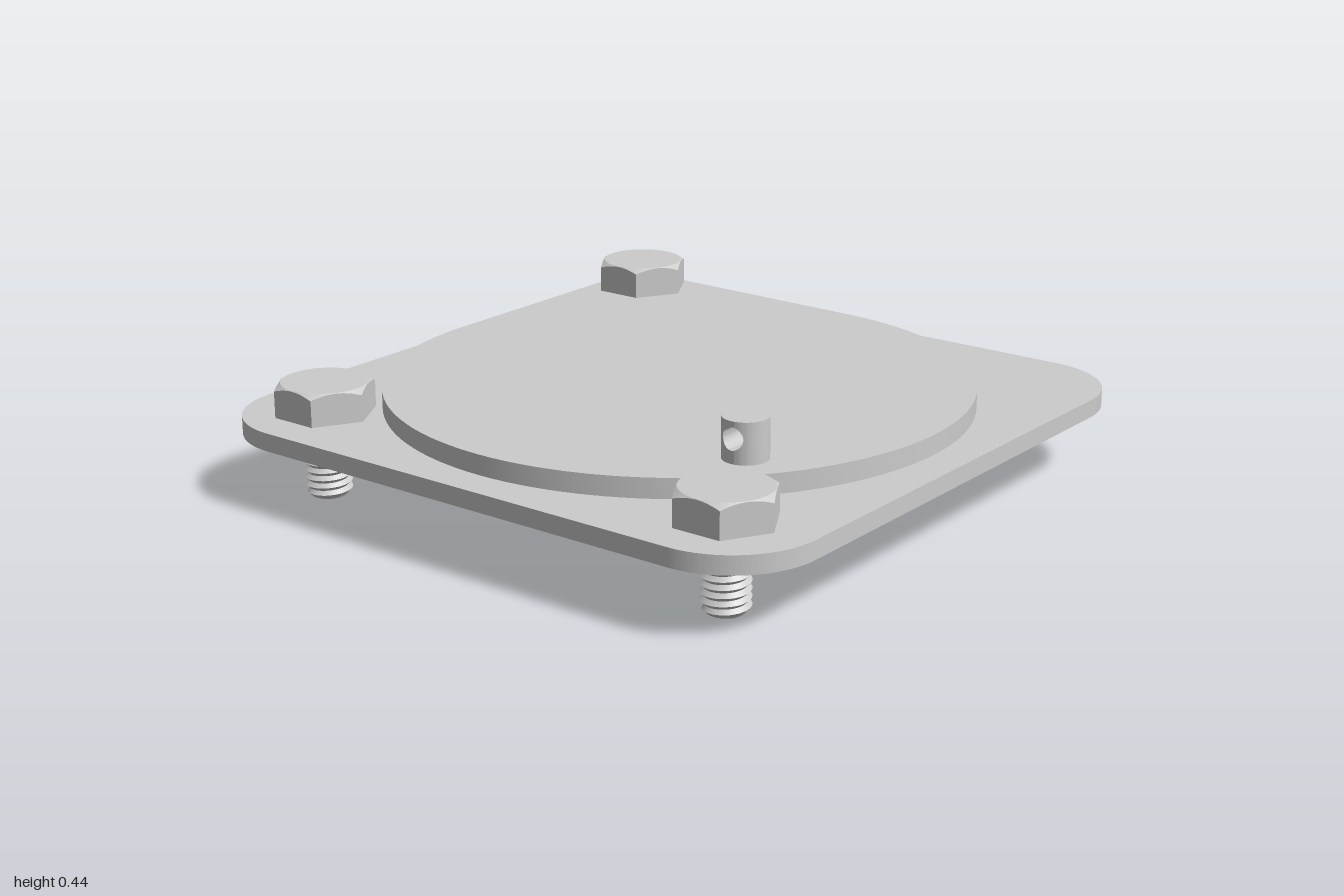
import * as THREE from 'three';
import { toCreasedNormals } from 'three/addons/utils/BufferGeometryUtils.js';

const material = new THREE.MeshStandardMaterial({ color: 0xcccccc });

function mesh(name, geometry, x = 0, y = 0, z = 0) {
  const m = new THREE.Mesh(toCreasedNormals(geometry, 0.45), material);
  m.name = name;
  m.position.set(x, y, z);
  return m;
}

// Flat slab from a plan outline (shape y points to -z), resting on y = 0
function slab(shape, thickness) {
  return new THREE.ExtrudeGeometry(shape, { depth: thickness, bevelEnabled: false, curveSegments: 48 })
    .rotateX(-Math.PI / 2);
}

function plateShape(half, r, holeRadius) {
  const s = new THREE.Shape(), c = half - r;
  [[c, c], [-c, c], [-c, -c], [c, -c]].forEach(([x, y], i) =>
    s.absarc(x, y, r, i * Math.PI / 2, (i + 1) * Math.PI / 2));
  s.closePath();
  s.holes.push(new THREE.Path().absarc(0, 0, holeRadius, 0, Math.PI * 2, true));
  return s;
}

// Large disc joined by tangents to a small lug around the pivot bolt
function coverShape(R, r, lx, ly) {
  const dir = Math.atan2(ly, lx), spread = Math.acos((R - r) / Math.hypot(lx, ly));
  const s = new THREE.Shape();
  s.absarc(0, 0, R, dir + spread, dir - spread + Math.PI * 2);
  s.absarc(lx, ly, r, dir - spread, dir + spread);
  s.closePath();
  return s;
}

// Hexagonal prism, corners on the x axis, its top cut by a cone of the given slope
function hexGeometry(apothem, height, slope) {
  const g = new THREE.CylinderGeometry(1, 1, height, 48, 2);
  const p = g.attributes.position, third = Math.PI / 3;
  for (let i = 0; i < p.count; i++) {
    const x = p.getX(i), y = p.getY(i), z = p.getZ(i);
    if (Math.hypot(x, z) < 0.5) continue;
    const a = Math.atan2(z, x) + Math.PI * 2 + 1e-6;
    const hexR = apothem / Math.cos(a % third - third / 2);
    const inner = apothem * 0.985;
    const r = y > 0.01 && slope ? inner : hexR;
    p.setXYZ(i, x * r, Math.abs(y) < 0.01 ? height / 2 - (hexR - inner) * slope : y, z * r);
  }
  return g.translate(0, height / 2, 0);
}

// Helical V thread hanging down from y = 0, closed at the tip
function threadGeometry(length, crest, root, pitch) {
  const segs = 32, rows = 2 * Math.ceil(length / pitch) + 6;
  const g = new THREE.CylinderGeometry(1, 1, 1, segs, rows, true);
  const p = g.attributes.position;
  for (let i = 0; i < p.count; i++) {
    const k = Math.floor(i / (segs + 1)), u = (i % (segs + 1)) / segs;
    const raw = pitch * (1 + u - k / 2);
    const y = Math.min(0, Math.max(-length, raw));
    let r = k % 2 ? crest : root;
    if (raw !== y) r = root;
    r = Math.min(r, root - 0.004 + (y + length));
    if (k === rows) r = 0;
    p.setXYZ(i, p.getX(i) * r, y, p.getZ(i) * r);
  }
  return g;
}

function bolt(name, x, y, z) {
  const g = new THREE.Group();
  g.name = name;
  g.add(mesh('hexHead', hexGeometry(0.132, 0.097, 0.7)));
  g.add(mesh('threadedShank', threadGeometry(0.255, 0.07, 0.058, 0.023)));
  g.position.set(x, y, z);
  return g;
}

// Upright pin with a round hole through it along z, swept in slices across x
function drilledPinGeometry(r, height, holeY, holeR) {
  const xs = [];
  for (let i = 0; i <= 16; i++) xs.push(-holeR * Math.cos(i * Math.PI / 16));
  const edge = Math.acos(holeR / r);
  for (let i = 0; i < 12; i++) {
    const x = r * Math.cos(edge * i / 12);
    xs.push(x, -x);
  }
  xs.sort((a, b) => a - b);
  const pos = [];
  const gap = x => Math.abs(x) < holeR - 1e-6 ? Math.sqrt(holeR * holeR - x * x) : 0;
  for (const side of [-1, 1]) {
    const section = x => {
      const z = Math.sqrt(Math.max(0, r * r - x * x));
      const end = side < 0 ? 0 : height, inner = holeY + side * gap(x);
      return [[x, end, -z], [x, inner, -z], [x, inner, z], [x, end, z]];
    };
    for (let i = 0; i + 1 < xs.length; i++) {
      const A = section(xs[i]), B = section(xs[i + 1]);
      for (let j = 0; j < 4; j++) {
        if (j === 1 && !gap(xs[i]) && !gap(xs[i + 1])) continue;
        const n = (j + 1) % 4;
        const quad = side < 0 ? [A[j], A[n], B[n], B[j]] : [A[j], B[j], B[n], A[n]];
        for (const c of [0, 1, 2, 0, 2, 3]) pos.push(...quad[c]);
      }
    }
  }
  const g = new THREE.BufferGeometry();
  g.setAttribute('position', new THREE.Float32BufferAttribute(pos, 3));
  return g;
}

export function createModel() {
  const model = new THREE.Group();
  model.name = 'hatchAssembly';
  const bx = 0.74, bz = 0.754, plateY = 0.2, coverY = 0.255, coverTop = 0.315;

  // Base plate with the round opening, and the pivoting cover over it
  model.add(mesh('basePlate', slab(plateShape(1, 0.27, 0.785), coverY - plateY), 0, plateY, 0));
  model.add(mesh('pivotCover', slab(coverShape(0.89, 0.15, -bx, bz), coverTop - coverY), 0, coverY, 0));

  // Pivot bolt through the cover lug, with its nut under the plate
  model.add(bolt('pivotBolt', -bx, coverTop, -bz));
  const nut = mesh('pivotNut', hexGeometry(0.123, 0.046, 0), -bx, plateY - 0.046, -bz);
  nut.rotation.y = Math.PI / 2;
  model.add(nut);

  // Two front bolts straight into the plate
  model.add(bolt('frontRightBolt', -bx, coverY, bz));
  model.add(bolt('frontLeftBolt', bx - 0.005, coverY, bz));

  // Drilled pin used as the cover's handle
  model.add(mesh('drilledPin', drilledPinGeometry(0.067, 0.122, 0.072, 0.034), 0.585, coverTop, 0.465));
  return model;
}
